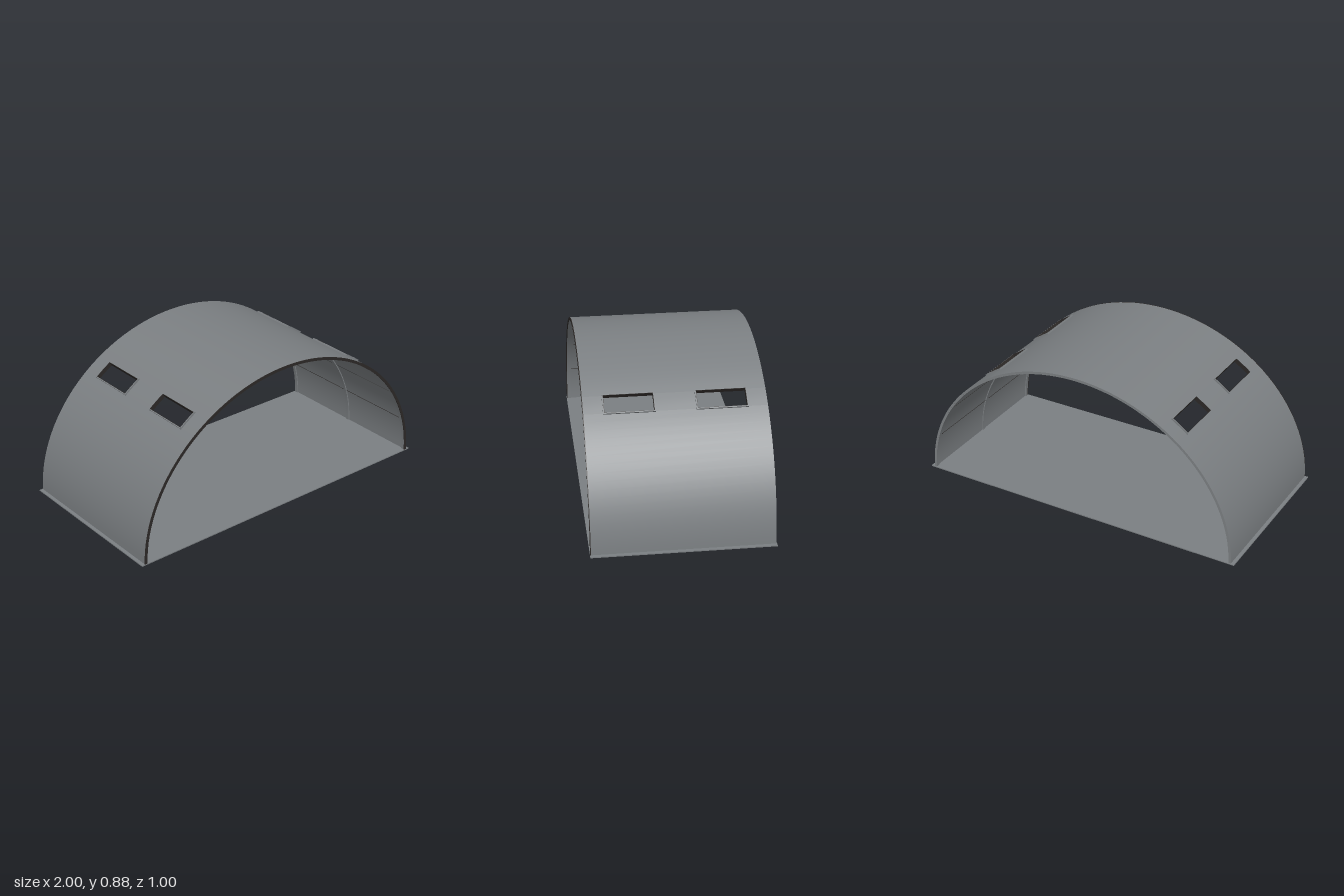
import * as THREE from 'three';
import { toCreasedNormals } from 'three/addons/utils/BufferGeometryUtils.js';

const A = 0.975, B = 0.87; // half width and height of the arch

// point on the arch at angle t, moved outwards by d
function archPoint(t, d) {
  const n = new THREE.Vector2(Math.cos(t) / A, Math.sin(t) / B).normalize();
  return new THREE.Vector2(A * Math.cos(t) + n.x * d, B * Math.sin(t) + n.y * d);
}

// curved slab between two angles, two offsets and two depths
function archBand(t0, t1, d0, d1, z0, z1) {
  const steps = Math.max(1, Math.ceil((t1 - t0) / (Math.PI / 60)));
  const outer = [], inner = [];
  for (let i = 0; i <= steps; i++) {
    const t = t0 + (t1 - t0) * i / steps;
    outer.push(archPoint(t, d1));
    inner.unshift(archPoint(t, d0));
  }
  const geo = new THREE.ExtrudeGeometry(new THREE.Shape([...outer, ...inner]),
    { depth: z1 - z0, bevelEnabled: false });
  geo.translate(0, 0, z0);
  return toCreasedNormals(geo, 0.5);
}

export function createModel() {
  const model = new THREE.Group();
  model.name = 'archedShelter';
  const grey = new THREE.MeshStandardMaterial({ color: 0x7b7f82 });
  grey.name = 'steel grey';
  const dark = new THREE.MeshStandardMaterial({ color: 0x2c2826 });
  dark.name = 'dark trim';

  const add = (parent, name, geo, mat) => {
    const mesh = new THREE.Mesh(geo, mat);
    mesh.name = name;
    parent.add(mesh);
    return mesh;
  };

  // floor slab
  add(model, 'floor', new THREE.BoxGeometry(2, 0.006, 1).translate(0, 0.003, 0), grey);

  // roof shell, with strips left open for the windows
  const W0 = 0.86, W1 = 0.975, Z0 = 0.115, Z1 = 0.385;
  const shell = (t0, t1, z0 = -0.495, z1 = 0.495) =>
    add(model, 'shell', archBand(t0, t1, -0.004, 0.005, z0, z1), grey);
  shell(0, W0);
  shell(W1, Math.PI - W1);
  shell(Math.PI - W0, Math.PI);
  for (const [t0, t1] of [[W0, W1], [Math.PI - W1, Math.PI - W0]]) {
    shell(t0, t1, -0.495, -Z1);
    shell(t0, t1, -Z0, Z0);
    shell(t0, t1, Z1, 0.495);
  }

  // end and middle ribs, dark front edge
  for (const z of [-0.484, 0, 0.484])
    add(model, 'rib', archBand(0, Math.PI, -0.01, -0.004, z - 0.011, z + 0.011), grey);
  add(model, 'frontTrim', archBand(0, Math.PI, -0.011, 0.005, 0.495, 0.499), dark);

  // thin seams along the inside
  for (let i = 1; i < 12; i++) {
    const t = i * Math.PI / 12;
    add(model, 'seam', archBand(t - 0.0015, t + 0.0015, -0.0055, -0.004, -0.47, 0.47), dark);
  }

  for (const side of [1, -1]) {
    const band = (t0, t1, ...rest) => side > 0
      ? archBand(t0, t1, ...rest)
      : archBand(Math.PI - t1, Math.PI - t0, ...rest);

    // window frames with dark linings
    for (const c of [-0.25, 0.25]) {
      const frame = new THREE.Group();
      frame.name = 'windowFrame';
      model.add(frame);
      const za = c - 0.135, zb = c + 0.135, e = 0.006, l = 0.002;
      const ring = (name, mat, a, b, z0, z1, w, d0, d1) => {
        add(frame, name, band(a - w, a, d0, d1, z0 - w, z1 + w), mat);
        add(frame, name, band(b, b + w, d0, d1, z0 - w, z1 + w), mat);
        add(frame, name, band(a, b, d0, d1, z0 - w, z0), mat);
        add(frame, name, band(a, b, d0, d1, z1, z1 + w), mat);
      };
      ring('frameBar', grey, W0, W1, za, zb, e, -0.012, 0.014);
      ring('frameLining', dark, W0 + l, W1 - l, za + l, zb - l, l, -0.012, 0.0135);
    }

    // grab bar held off the middle rib
    const bar = new THREE.Group();
    bar.name = 'grabBar';
    bar.position.set(side * 0.66, 0.585, 0);
    bar.rotation.z = -side * Math.atan2(0.11, 0.14);
    add(bar, 'rail', new THREE.BoxGeometry(0.18, 0.01, 0.022), dark);
    for (const x of [-0.05, 0.05])
      add(bar, 'strut', new THREE.BoxGeometry(0.006, 0.034, 0.012).translate(x, 0.02, 0), grey);
    model.add(bar);
  }
  return model;
}
